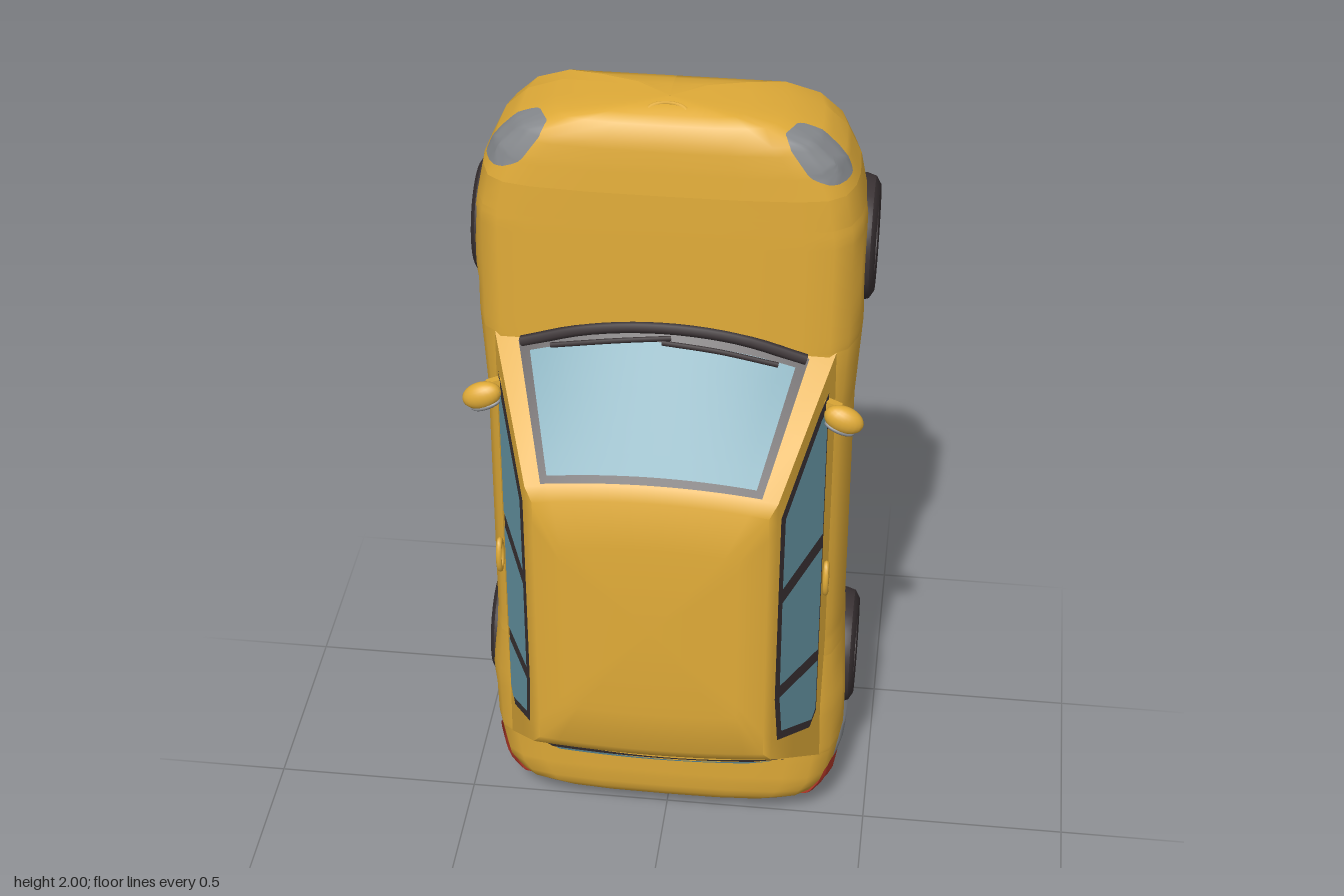
import * as THREE from 'three';
import { toCreasedNormals } from 'three/addons/utils/BufferGeometryUtils.js';

const mat = (name, color) => new THREE.MeshStandardMaterial({ name, color, side: THREE.DoubleSide });
const lerp = THREE.MathUtils.lerp;

// Piecewise linear lookup: rows sorted by their first number
function look(rows, v) {
  let i = 0;
  while (i < rows.length - 2 && v > rows[i + 1][0]) i++;
  const a = rows[i], b = rows[i + 1];
  const t = THREE.MathUtils.clamp((v - a[0]) / (b[0] - a[0]), 0, 1);
  return a.map((n, k) => lerp(n, b[k], t));
}

// Surface from a grid of points: fn(i, j) gives [x, y, z]
function grid(rows, cols, fn) {
  const pos = [], idx = [];
  for (let i = 0; i <= rows; i++) for (let j = 0; j <= cols; j++) pos.push(...fn(i, j));
  for (let i = 0; i < rows; i++) for (let j = 0; j < cols; j++) {
    const a = i * (cols + 1) + j, b = a + cols + 1;
    idx.push(a, a + 1, b + 1, a, b + 1, b);
  }
  const g = new THREE.BufferGeometry();
  g.setAttribute('position', new THREE.Float32BufferAttribute(pos, 3));
  g.setIndex(idx);
  g.computeVertexNormals();
  return g;
}

// Body stations: y, half width, upper z, lower z
const stations = [
  [0.062, 0.001, -0.08, -0.081], [0.065, 0.2, 0.03, -0.18], [0.075, 0.33, 0.05, -0.21],
  [0.1, 0.385, 0.067, -0.228], [0.15, 0.418, 0.075, -0.235], [0.25, 0.435, 0.079, -0.24],
  [0.4, 0.438, 0.082, -0.24], [0.6, 0.425, 0.083, -0.24], [1.25, 0.424, 0.083, -0.24],
  [1.45, 0.436, 0.078, -0.24], [1.72, 0.435, 0.073, -0.24], [1.82, 0.415, 0.07, -0.236],
  [1.89, 0.382, 0.063, -0.228], [1.94, 0.33, 0.055, -0.215], [1.975, 0.25, 0.04, -0.19],
  [1.99, 0.17, 0.02, -0.15], [1.998, 0.08, -0.01, -0.11], [2, 0.001, -0.05, -0.051]];
// Half section: fraction of height from the top, fraction of half width
const section = [[0, 0], [0.005, 0.4], [0.03, 0.7], [0.07, 0.85], [0.16, 0.94],
  [0.32, 0.985], [0.5, 1], [0.8, 0.99], [1, 0.95]];
const axles = [0.4, 1.59], wheelZ = -0.2, archR = 0.156;

function archZ(y) {
  for (const c of axles) {
    const d = Math.abs(y - c);
    if (d <= archR + 1e-6) return wheelZ + Math.sqrt(Math.max(0, archR * archR - d * d));
  }
  return -9;
}

// Point k of the section at y; negative k is the right half
function bodyPoint(y, k) {
  const n = Math.abs(k), s = Math.sign(k);
  const [, w, top, low] = look(stations, y);
  const inner = Math.min(0.33, w * 0.8), arch = archZ(y);
  if (n === 9) return [s * inner, y, Math.max(low, arch)];
  if (n === 10) return [s * inner, y, low];
  if (n === 11) return [0, y, low];
  const [f, x] = section[n];
  return [s * x * w, y, Math.max(lerp(top, low, f), arch + 0.02 * (1 - f))];
}

// Cabin outline at height z
function cabin(z) {
  const t = (z - 0.07) / 0.235;
  return { z, w: lerp(0.375, 0.283, t), yf: lerp(1.48, 1.215, t), bf: lerp(0.07, 0.02, t),
    yr: lerp(0.222, 0.43, t), br: lerp(0.04, 0.015, t) };
}

export function createModel() {
  const car = new THREE.Group();
  const paint = mat('yellow paint', 0xe0ab38), under = mat('brown underside', 0x9a8467);
  const rubber = mat('dark rubber', 0x3b3335), metal = mat('grey metal', 0x85888c);
  const glass = mat('blue glass', 0x699baa), red = mat('red lamp', 0xb93a2a);
  const plateMat = mat('light grey', 0xa6a8aa);
  function add(name, geo, material, parent = car) {
    const m = new THREE.Mesh(geo, material);
    m.name = name;
    parent.add(m);
    return m;
  }

  // Body stations, denser around the wheel arches
  const arches = axles.map((c) => {
    const a = [c - archR - 0.001];
    for (let i = 0; i <= 16; i++) a.push(c - archR * Math.cos(i * Math.PI / 16));
    return [...a, c + archR + 0.001];
  });
  const [rearArch, frontArch] = arches;
  const between = (a, b) => {
    const ys = stations.map((s) => s[0]);
    for (let y = 0.12; y < 1.95; y += 0.05) ys.push(y);
    return ys.filter((y) => y > a + 0.003 && y < b - 0.003).sort((p, q) => p - q);
  };
  const first = rearArch[0], last = frontArch.at(-1);
  const tail = [0.062, ...between(0.06, first), first];
  const middle = [rearArch.at(-1), ...between(rearArch.at(-1), frontArch[0]), frontArch[0]];
  const nose = [last, ...between(last, 2.01).filter((y) => y < 2), 2];
  const all = [...new Set([...tail, ...rearArch, ...middle, ...frontArch, ...nose])];
  const strip = (name, ys, k0, k1, m) =>
    add(name, grid(ys.length - 1, k1 - k0, (i, j) => bodyPoint(ys[i], k0 + j)), m);
  const both = (name, ys, k0, k1, m) => {
    strip(name, ys, k0, k1, m);
    strip(name, ys, -k1, -k0, m);
  };
  strip('bodyShell', all, -7, 7, paint);
  both('sill', middle, 7, 8, under);
  for (const ys of [tail, rearArch, frontArch, nose]) both('lowerSkirt', ys, 7, 8, paint);
  for (const ys of arches) both('wheelWell', ys, 8, 10, rubber);
  both('noseLip', nose, 8, 10, paint);
  both('floorEdge', middle, 8, 10, under);
  both('floorEdge', tail, 8, 10, under);
  const lip = nose.filter((y) => y >= 1.89);
  both('floor', all.filter((y) => y <= lip[0]), 10, 11, under);
  both('noseLip', lip, 10, 11, paint);

  // Cabin with domed roof
  const levels = [cabin(0.02), cabin(0.07), cabin(0.19), cabin(0.305),
    { z: 0.322, w: 0.265, yf: 1.185, bf: 0.02, yr: 0.46, br: 0.015 },
    { z: 0.332, w: 0.2, yf: 1.06, bf: 0.015, yr: 0.58, br: 0.01 },
    { z: 0.338, w: 0, yf: 0.83, bf: 0, yr: 0.83, br: 0 }];
  const N = 12;
  add('cabin', toCreasedNormals(grid(levels.length - 1, N * 4, (i, j) => {
    const c = levels[i], side = Math.min(3, Math.floor(j / N)), t = j / N - side, u = 1 - 2 * t;
    if (side === 0) return [c.w, lerp(c.yr + c.br, c.yf - c.bf, t), c.z];
    if (side === 1) return [u * c.w, c.yf - c.bf * u * u, c.z];
    if (side === 2) return [-c.w, lerp(c.yf - c.bf, c.yr + c.br, t), c.z];
    return [-u * c.w, c.yr + c.br * u * u, c.z];
  }), 0.8), paint);

  // Windscreen and rear window: dark surround with glass over it
  const screen = (name, front, k, z0, z1, off, m) => add(name, grid(6, 16, (i, j) => {
    const c = cabin(lerp(z0, z1, i / 6)), u = k * (1 - j / 8) * (front ? 1 : -1);
    const y = front ? c.yf - c.bf * u * u + off : c.yr + c.br * u * u - off;
    return [u * c.w, y, c.z + off];
  }), m);
  screen('windscreenFrame', true, 0.87, 0.07, 0.302, 0.004, rubber);
  screen('windscreen', true, 0.81, 0.09, 0.29, 0.007, glass);
  screen('rearWindowFrame', false, 0.83, 0.085, 0.298, 0.004, rubber);
  screen('rearWindow', false, 0.77, 0.102, 0.285, 0.007, glass);

  // Side windows, outlined in (y, z) and laid on the sloping cabin sides
  const panes = {
    sideWindowFrame: [[1.35, 0.083], [1.32, 0.125], [1.15, 0.297], [0.63, 0.303], [0.49, 0.285], [0.39, 0.115], [0.42, 0.083]],
    frontSideGlass: [[1.32, 0.095], [1.3, 0.125], [1.14, 0.284], [0.945, 0.288], [0.965, 0.095]],
    middleSideGlass: [[0.925, 0.095], [0.905, 0.288], [0.66, 0.288], [0.62, 0.095]],
    rearSideGlass: [[0.585, 0.095], [0.625, 0.288], [0.51, 0.273], [0.415, 0.115], [0.435, 0.095]] };
  for (const s of [1, -1]) for (const [name, pts] of Object.entries(panes)) {
    const frame = name === 'sideWindowFrame';
    const outline = pts.map(([y, z]) => new THREE.Vector2(s * y, z));
    const g = new THREE.ShapeGeometry(new THREE.Shape(outline));
    const p = g.attributes.position;
    for (let i = 0; i < p.count; i++) {
      const y = s * p.getX(i), z = p.getY(i);
      p.setXYZ(i, s * (cabin(z).w + (frame ? 0.004 : 0.008)), y, z);
    }
    g.computeVertexNormals();
    add(name, g, frame ? rubber : glass);
  }

  // Cowl and wipers
  const tube = (name, pts, r) => add(name, new THREE.TubeGeometry(
    new THREE.CatmullRomCurve3(pts.map((p) => new THREE.Vector3(...p))), 20, r, 6), rubber);
  tube('cowl', [[-0.32, 1.43, 0.077], [-0.17, 1.475, 0.08], [0, 1.492, 0.082], [0.17, 1.475, 0.08], [0.32, 1.43, 0.077]], 0.013);
  tube('wiper', [[-0.25, 1.44, 0.1], [-0.1, 1.465, 0.103], [0.02, 1.475, 0.095]], 0.006);
  tube('wiper', [[0, 1.465, 0.1], [0.13, 1.455, 0.106], [0.26, 1.43, 0.105]], 0.006);

  // Lamps laid on the body surface as rounded patches
  const lamp = (name, s, yc, dy, fc, df, push, m) => add(name, grid(6, 32, (i, j) => {
    const a = s * j * Math.PI / 16, r = i / 6;
    const sq = (v) => Math.sign(v) * Math.sqrt(Math.abs(v));
    const y = yc + dy * r * sq(Math.cos(a)), f = fc + df * r * sq(Math.sin(a));
    const [, w, top, low] = look(stations, y);
    return [s * (look(section, f)[1] * w + 0.005), y + push, lerp(top, low, f) + 0.003];
  }), m);
  for (const s of [1, -1]) {
    lamp('headlight', s, 1.905, 0.058, 0.21, 0.16, 0.004, metal);
    lamp('tailLight', s, 0.14, 0.067, 0.28, 0.14, -0.004, red);
  }

  // Rear bumper swept around the tail
  const half = [[0.442, 0.243], [0.436, 0.19], [0.418, 0.12], [0.375, 0.065], [0.28, 0.03], [0.15, 0.013]];
  const path = [...half.map(([x, y]) => [-x, y]), [0, 0.006], ...half.slice().reverse()];
  const lipSection = [[0.22, -0.045], [0.04, -0.058], [0, -0.095], [0, -0.16], [0.08, -0.225], [0.22, -0.237]];
  add('rearBumper', grid(path.length - 1, lipSection.length - 1, (i, j) => {
    const [x, y] = path[i], [k, z] = lipSection[j];
    return [x * (1 - k * 0.6), y + k * 0.5 * (1 - y / 0.26), z];
  }), metal);
  const plate = add('rearPlate', new THREE.BoxGeometry(0.17, 0.05, 0.009), plateMat);
  plate.position.set(0, 0.045, -0.025);
  plate.rotation.x = 0.5;

  // Ring-shaped latch on the nose
  const latch = add('noseLatch', new THREE.TorusGeometry(0.025, 0.005, 8, 24), paint);
  latch.position.set(0, 1.99, 0);
  latch.rotation.x = -1.1;
  latch.scale.set(1.6, 0.8, 1);

  // Wheels
  const tyre = new THREE.LatheGeometry([[0, -0.056], [0.12, -0.057], [0.138, -0.047], [0.145, -0.025],
    [0.145, 0.025], [0.138, 0.047], [0.12, 0.058], [0.09, 0.055], [0.083, 0.03], [0, 0.03]]
    .map((p) => new THREE.Vector2(...p)), 36);
  const rim = new THREE.LatheGeometry([[0.084, 0.052], [0.074, 0.043], [0.025, 0.04], [0.02, 0.047], [0, 0.048]]
    .map((p) => new THREE.Vector2(...p)), 30);
  for (const s of [1, -1]) for (const y of axles) {
    const wheel = new THREE.Group();
    wheel.name = 'wheel';
    wheel.position.set(s * 0.397, y, wheelZ);
    wheel.rotation.z = -s * Math.PI / 2;
    add('tyre', toCreasedNormals(tyre, 0.7), rubber, wheel);
    add('rim', rim, metal, wheel);
    for (let i = 0; i < 6; i++) {
      const a = i * Math.PI / 3;
      const slot = add('rimSlot', new THREE.BoxGeometry(0.034, 0.006, 0.008), rubber, wheel);
      slot.position.set(0.054 * Math.cos(a), 0.0425, -0.054 * Math.sin(a));
      slot.rotation.y = a;
    }
    car.add(wheel);
  }

  // Door mirrors and handles
  for (const s of [1, -1]) {
    const mirror = new THREE.Group();
    mirror.name = 'doorMirror';
    mirror.position.set(s * 0.41, 1.295, 0.104);
    mirror.rotation.z = -s * 0.4;
    add('mirrorShell', new THREE.SphereGeometry(1, 20, 14), paint, mirror).scale.set(0.047, 0.032, 0.026);
    const pane = add('mirrorGlass', new THREE.SphereGeometry(1, 20, 12), metal, mirror);
    pane.scale.set(0.038, 0.01, 0.021);
    pane.position.y = -0.025;
    const arm = add('mirrorArm', new THREE.BoxGeometry(0.05, 0.025, 0.02), paint, mirror);
    arm.position.set(-s * 0.04, 0.008, -0.018);
    car.add(mirror);
    const handle = add('doorHandle', new THREE.TorusGeometry(0.028, 0.007, 8, 24), paint);
    handle.position.set(s * 0.385, 0.84, 0.1);
    handle.rotation.y = Math.PI / 2;
    handle.scale.set(0.7, 1.4, 1);
  }
  return car;
}
